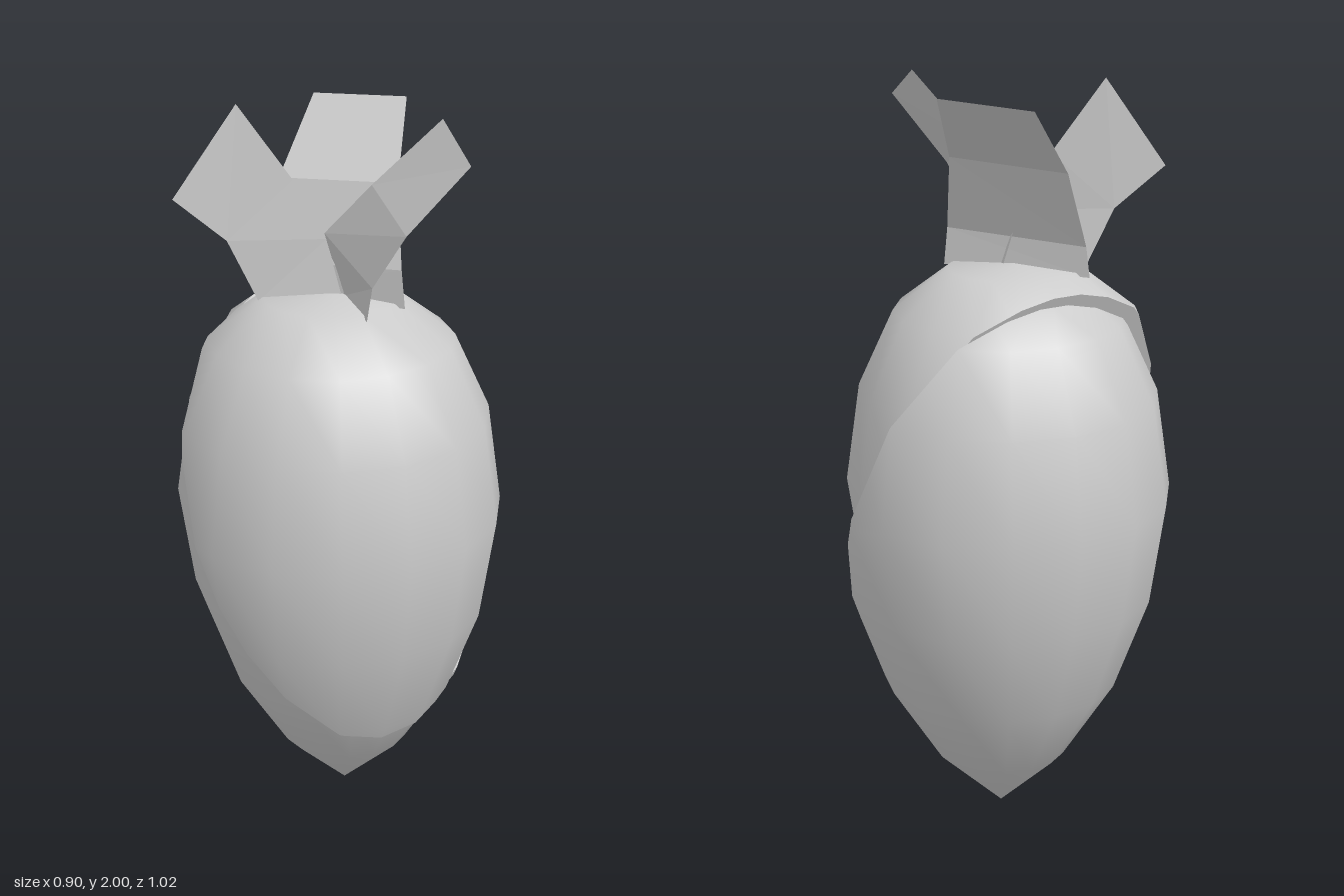
import * as THREE from 'three';

const material = new THREE.MeshStandardMaterial({ color: 0xcccccc });
const leafMaterial = new THREE.MeshStandardMaterial({ color: 0xcccccc, flatShading: true, side: THREE.DoubleSide });

// Radius and height of the fruit, tip to crown
const profile = [
  [0, 0], [0.18, 0.175], [0.32, 0.4], [0.413, 0.66], [0.452, 0.935],
  [0.413, 1.2], [0.32, 1.4], [0.175, 1.51], [0, 1.52],
].map(([r, y]) => new THREE.Vector2(r, y));

// Slanted slice through the middle of the fruit
const cut = new THREE.Plane(new THREE.Vector3(0.733, 0.419, 0.5325).normalize(), -0.42);

// Keeps the part of a geometry on the positive side of a plane and closes the cut
function slice(geometry, plane) {
  const source = geometry.toNonIndexed();
  const { position, normal } = source.attributes;
  const pos = [], nor = [], edges = [];
  const emit = (p, n) => { pos.push(p.x, p.y, p.z); nor.push(n.x, n.y, n.z); };
  for (let i = 0; i < position.count; i += 3) {
    const corners = [0, 1, 2].map((k) => {
      const p = new THREE.Vector3().fromBufferAttribute(position, i + k);
      return { p, n: new THREE.Vector3().fromBufferAttribute(normal, i + k), d: plane.distanceToPoint(p) };
    });
    const kept = [], rim = [];
    corners.forEach((a, k) => {
      const b = corners[(k + 1) % 3];
      if (a.d >= 0) kept.push(a);
      if ((a.d >= 0) !== (b.d >= 0)) {
        const t = a.d / (a.d - b.d);
        const c = { p: a.p.clone().lerp(b.p, t), n: a.n.clone().lerp(b.n, t).normalize() };
        kept.push(c);
        rim.push(c.p);
      }
    });
    for (let k = 1; k + 1 < kept.length; k++) {
      [kept[0], kept[k], kept[k + 1]].forEach((v) => emit(v.p, v.n));
    }
    if (rim.length === 2) edges.push(rim);
  }
  // Flat cut face as a fan around the middle of the rim
  const centre = new THREE.Vector3();
  edges.forEach(([a, b]) => centre.add(a).add(b));
  centre.divideScalar(edges.length * 2);
  const facing = plane.normal.clone().negate();
  edges.forEach(([a, b]) => {
    const turn = a.clone().sub(centre).cross(b.clone().sub(centre)).dot(facing);
    (turn > 0 ? [centre, a, b] : [centre, b, a]).forEach((p) => emit(p, facing));
  });
  const result = new THREE.BufferGeometry();
  result.setAttribute('position', new THREE.Float32BufferAttribute(pos, 3));
  result.setAttribute('normal', new THREE.Float32BufferAttribute(nor, 3));
  return result;
}

// Folded leaf: a strip through pairs of left and right corners
function leaf(name, pairs) {
  const index = [];
  for (let i = 0; i + 1 < pairs.length; i++) {
    const a = i * 2;
    index.push(a, a + 1, a + 3, a, a + 3, a + 2);
  }
  const geometry = new THREE.BufferGeometry();
  geometry.setAttribute('position', new THREE.Float32BufferAttribute(pairs.flat(2), 3));
  geometry.setIndex(index);
  geometry.computeVertexNormals();
  const mesh = new THREE.Mesh(geometry, leafMaterial);
  mesh.name = name;
  return mesh;
}

export function createModel() {
  const model = new THREE.Group();
  model.name = 'slicedFruit';

  // Two halves, pulled slightly apart
  const fruit = new THREE.LatheGeometry(profile, 16);
  const halves = [['upperFrontHalf', cut, 0.057], ['lowerBackHalf', cut.clone().negate(), -0.057]];
  for (const [name, plane, z] of halves) {
    const half = new THREE.Mesh(slice(fruit, plane), material);
    half.name = name;
    half.position.z = z;
    model.add(half);
  }

  // Crown of three leaves
  const crown = new THREE.Group();
  crown.name = 'leaves';
  crown.add(
    leaf('rightLeaf', [
      [[-0.17, 1.5, 0.13], [0.03, 1.51, 0.06]],
      [[-0.24, 1.66, 0.16], [-0.01, 1.66, 0.065]],
      [[-0.24, 1.66, 0.16], [-0.09, 1.81, 0.085]],
      [[-0.36, 1.77, 0.215], [-0.22, 2.0, 0.13]],
    ]),
    leaf('leftLeaf', [
      [[0.03, 1.51, 0.05], [0.14, 1.5, 0.195]],
      [[-0.02, 1.67, 0.05], [0.155, 1.59, 0.2]],
      [[0.12, 1.82, 0.1], [0.25, 1.74, 0.235]],
      [[0.3, 2.0, 0.115], [0.4, 1.92, 0.222]],
    ]),
    leaf('backLeaf', [
      [[-0.21, 1.5, 0.04], [0.2, 1.5, 0.07]],
      [[-0.2, 1.58, 0.04], [0.19, 1.6, 0.07]],
      [[-0.17, 1.78, -0.03], [0.155, 1.8, -0.005]],
      [[-0.14, 1.96, -0.215], [0.12, 1.975, -0.187]],
    ]),
  );
  model.add(crown);
  return model;
}
